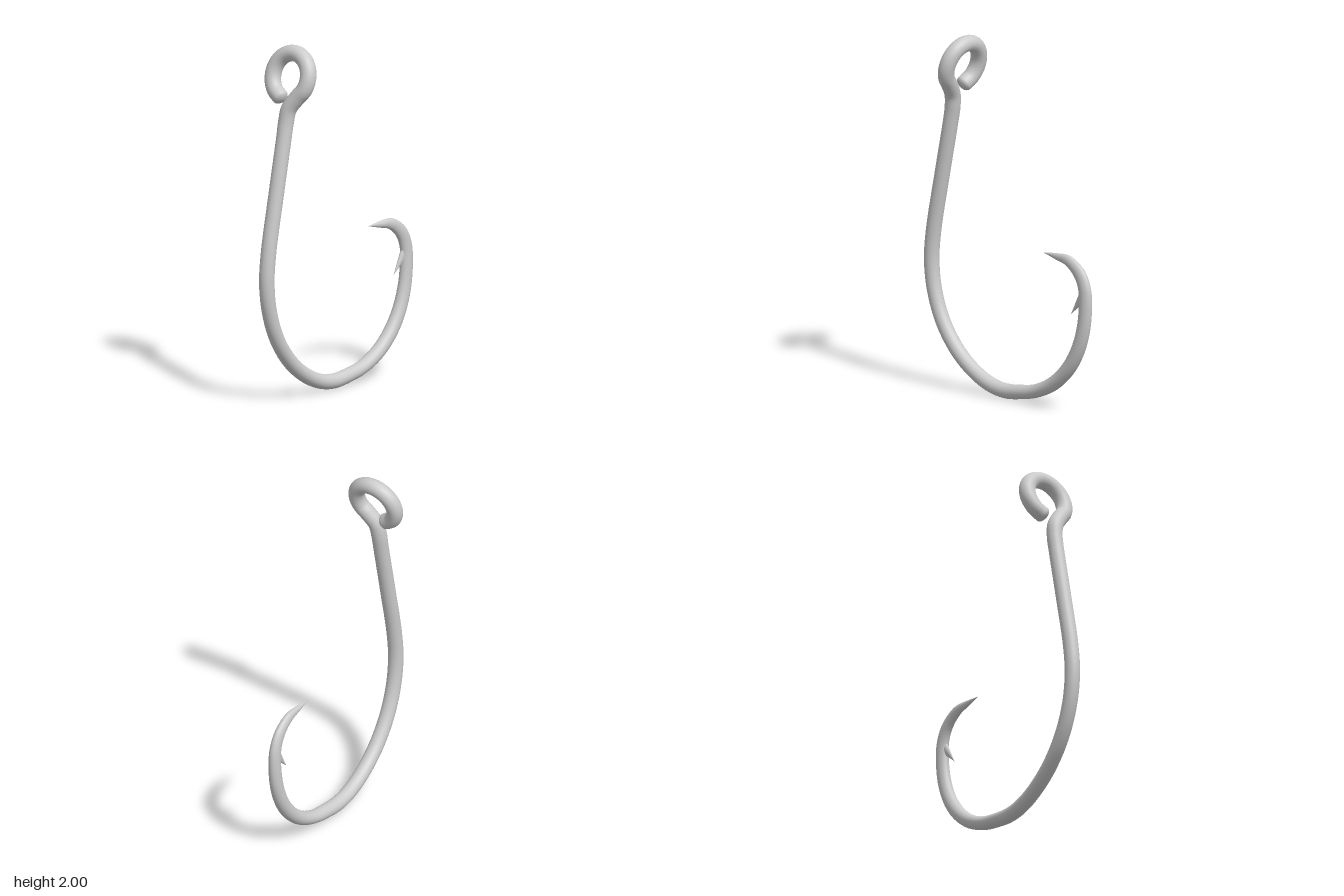
import * as THREE from 'three';

const SIDES = 24;

// Sweeps an elliptical section along a curve; stations are [x, y, z, inPlaneRadius, zRadius]
function sweep(stations, stepsPerSpan) {
  const curve = new THREE.CatmullRomCurve3(stations.map(s => new THREE.Vector3(s[0], s[1], s[2])));
  const spans = stations.length - 1;
  const steps = spans * stepsPerSpan;
  const rings = [];
  const binormal = new THREE.Vector3(0, 0, 1);
  for (let i = 0; i <= steps; i++) {
    const t = i / steps;
    const k = Math.min(Math.floor(t * spans), spans - 1);
    const f = t * spans - k;
    const tangent = curve.getTangent(t);
    binormal.addScaledVector(tangent, -binormal.dot(tangent)).normalize();
    rings.push({
      c: curve.getPoint(t), tangent, b: binormal.clone(),
      n: new THREE.Vector3().crossVectors(binormal, tangent),
      rn: THREE.MathUtils.lerp(stations[k][3], stations[k + 1][3], f),
      rb: THREE.MathUtils.lerp(stations[k][4], stations[k + 1][4], f),
    });
  }
  // Domed end cap
  const last = rings[rings.length - 1];
  for (let i = 1; i <= 6; i++) {
    const a = (i / 6) * Math.PI / 2;
    rings.push({
      ...last, c: last.c.clone().addScaledVector(last.tangent, 0.6 * last.rn * Math.sin(a)),
      rn: last.rn * Math.cos(a), rb: last.rb * Math.cos(a),
    });
  }
  const pos = [], index = [];
  rings.forEach((r, i) => {
    for (let j = 0; j < SIDES; j++) {
      const a = (j / SIDES) * Math.PI * 2;
      const p = r.c.clone().addScaledVector(r.n, r.rn * Math.cos(a)).addScaledVector(r.b, r.rb * Math.sin(a));
      pos.push(p.x, p.y, p.z);
      if (i < rings.length - 1) {
        const j2 = (j + 1) % SIDES;
        const p0 = i * SIDES + j, p1 = i * SIDES + j2;
        index.push(p0, p1, p0 + SIDES, p1, p1 + SIDES, p0 + SIDES);
      }
    }
  });
  const geo = new THREE.BufferGeometry();
  geo.setAttribute('position', new THREE.Float32BufferAttribute(pos, 3));
  geo.setIndex(index);
  geo.computeVertexNormals();
  return geo;
}

export function createModel() {
  const group = new THREE.Group();
  group.name = 'fishHook';
  const material = new THREE.MeshStandardMaterial({ color: 0xcccccc });

  // Point and bend, flattened towards the tip: [x, y, inPlaneRadius, zRadius]
  const bend = [
    [0.265, 0.872, 0.001, 0.001], [0.36, 0.865, 0.018, 0.014], [0.455, 0.852, 0.032, 0.022],
    [0.54, 0.79, 0.04, 0.026], [0.578, 0.71, 0.041, 0.029], [0.584, 0.61, 0.041, 0.032],
    [0.568, 0.48, 0.041, 0.035], [0.525, 0.355, 0.041, 0.038], [0.45, 0.24, 0.041, 0.04],
    [0.34, 0.143, 0.04, 0.041], [0.21, 0.082, 0.038, 0.042], [0.1, 0.059, 0.04, 0.042],
    [-0.02, 0.047, 0.042, 0.042], [-0.13, 0.063, 0.042, 0.042], [-0.26, 0.12, 0.042, 0.042],
    [-0.39, 0.22, 0.042, 0.042], [-0.5, 0.365, 0.042, 0.042], [-0.565, 0.53, 0.042, 0.042],
    [-0.588, 0.7, 0.043, 0.043], [-0.574, 0.87, 0.043, 0.043], [-0.51, 1.19, 0.043, 0.043],
    [-0.445, 1.5, 0.043, 0.043],
  ].map(([x, y, a, b]) => [x, y, 0.017, a, b]);

  // Neck curling into the leaning eye loop
  const R = 0.126, r = 0.046, cy = 1.834;
  const lean = y => -0.335 + (y - 1.957) * 0.28;
  const eye = [[-0.428, 1.59, 0.018, 0.044, 0.044], [lean(1.665), 1.665, 0.03, 0.045, 0.045]];
  for (let i = 0; i <= 12; i++) {
    const a = THREE.MathUtils.degToRad(-52 + i * (300 / 12));
    const y = cy + R * Math.sin(a);
    eye.push([lean(y), y, R * Math.cos(a), r, r]);
  }
  const wire = new THREE.Mesh(sweep([...bend, ...eye], 6), material);
  wire.name = 'hookWire';
  group.add(wire);

  // Barb: thin spike on the inside of the point
  const base = new THREE.Vector3(0.565, 0.668, 0.017);
  const tip = new THREE.Vector3(0.474, 0.555, 0.017);
  const dir = tip.clone().sub(base);
  const barbGeo = new THREE.ConeGeometry(0.03, dir.length(), 16);
  barbGeo.scale(1, 1, 0.6);
  const barb = new THREE.Mesh(barbGeo, material);
  barb.name = 'barb';
  barb.position.copy(base).add(tip).multiplyScalar(0.5);
  barb.rotation.z = Math.atan2(-dir.x, dir.y);
  group.add(barb);

  return group;
}
